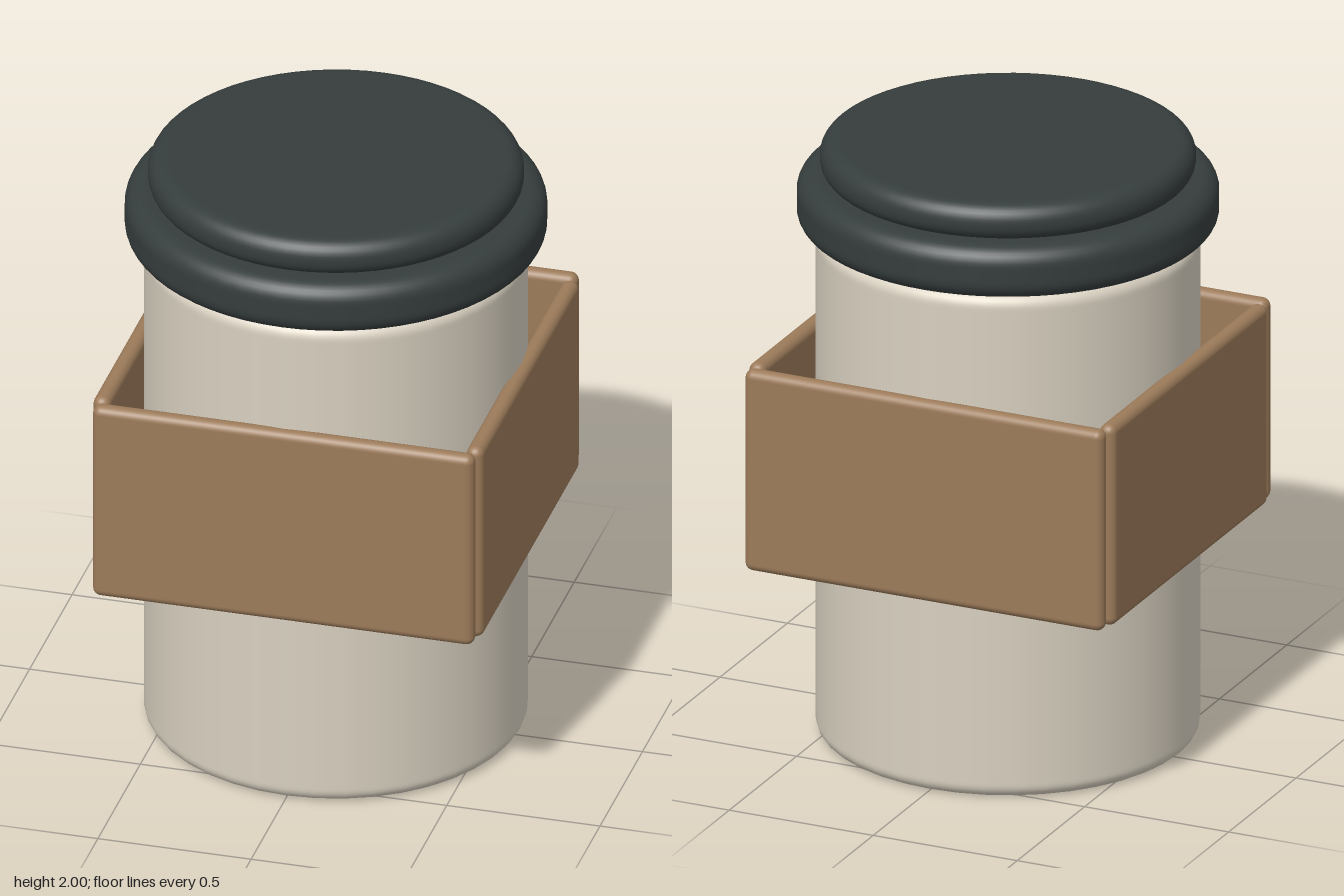
import * as THREE from 'three';
import { RoundedBoxGeometry } from 'three/addons/geometries/RoundedBoxGeometry.js';

const material = (name, color) => {
  const m = new THREE.MeshStandardMaterial({ color });
  m.name = name;
  return m;
};

// Solid disc with rounded rims, turned around the y axis
function roundedCylinder(radius, y0, y1, bevel, segments) {
  const pts = [new THREE.Vector2(0, y0), new THREE.Vector2(radius - bevel - 0.01, y0)];
  const arc = (cy, start) => {
    for (let i = 0; i <= 8; i++) {
      const a = start + (i / 8) * Math.PI / 2;
      pts.push(new THREE.Vector2(radius - bevel + bevel * Math.cos(a), cy + bevel * Math.sin(a)));
    }
  };
  arc(y0 + bevel, -Math.PI / 2);
  // Guard points keep the straight wall evenly shaded
  if (y1 - y0 > 2 * bevel + 0.03) {
    pts.push(new THREE.Vector2(radius, y0 + bevel + 0.01), new THREE.Vector2(radius, y1 - bevel - 0.01));
  }
  arc(y1 - bevel, 0);
  pts.push(new THREE.Vector2(radius - bevel - 0.01, y1), new THREE.Vector2(0, y1));
  return new THREE.LatheGeometry(pts, segments);
}

export function createModel() {
  const group = new THREE.Group();
  const cream = material('cream', 0xd8d0c0);
  const wood = material('wood brown', 0x9c7b5a);
  const dark = material('dark slate', 0x363d3d);

  const add = (name, geometry, mat, x = 0, y = 0, z = 0) => {
    const mesh = new THREE.Mesh(geometry, mat);
    mesh.name = name;
    mesh.position.set(x, y, z);
    group.add(mesh);
  };

  // Cup body and the short neck under the lid
  add('body', roundedCylinder(0.605, 0, 1.705, 0.045, 40), cream);
  add('neck', new THREE.CylinderGeometry(0.56, 0.56, 0.04, 40), dark, 0, 1.71, 0);

  // Two-tier lid
  add('lidRim', roundedCylinder(0.665, 1.71, 1.885, 0.06, 64), dark);
  add('lidTop', roundedCylinder(0.592, 1.88, 2, 0.055, 64), dark);

  // Square sleeve of four rounded boards
  const longBoard = new RoundedBoxGeometry(1.245, 0.68, 0.057, 4, 0.027);
  const shortBoard = new RoundedBoxGeometry(0.057, 0.68, 1.155, 4, 0.027);
  for (const s of [1, -1]) {
    add(s > 0 ? 'frontBoard' : 'backBoard', longBoard, wood, 0, 0.997, s * 0.609);
    add(s > 0 ? 'leftBoard' : 'rightBoard', shortBoard, wood, s * 0.609, 0.997, 0);
  }
  return group;
}
